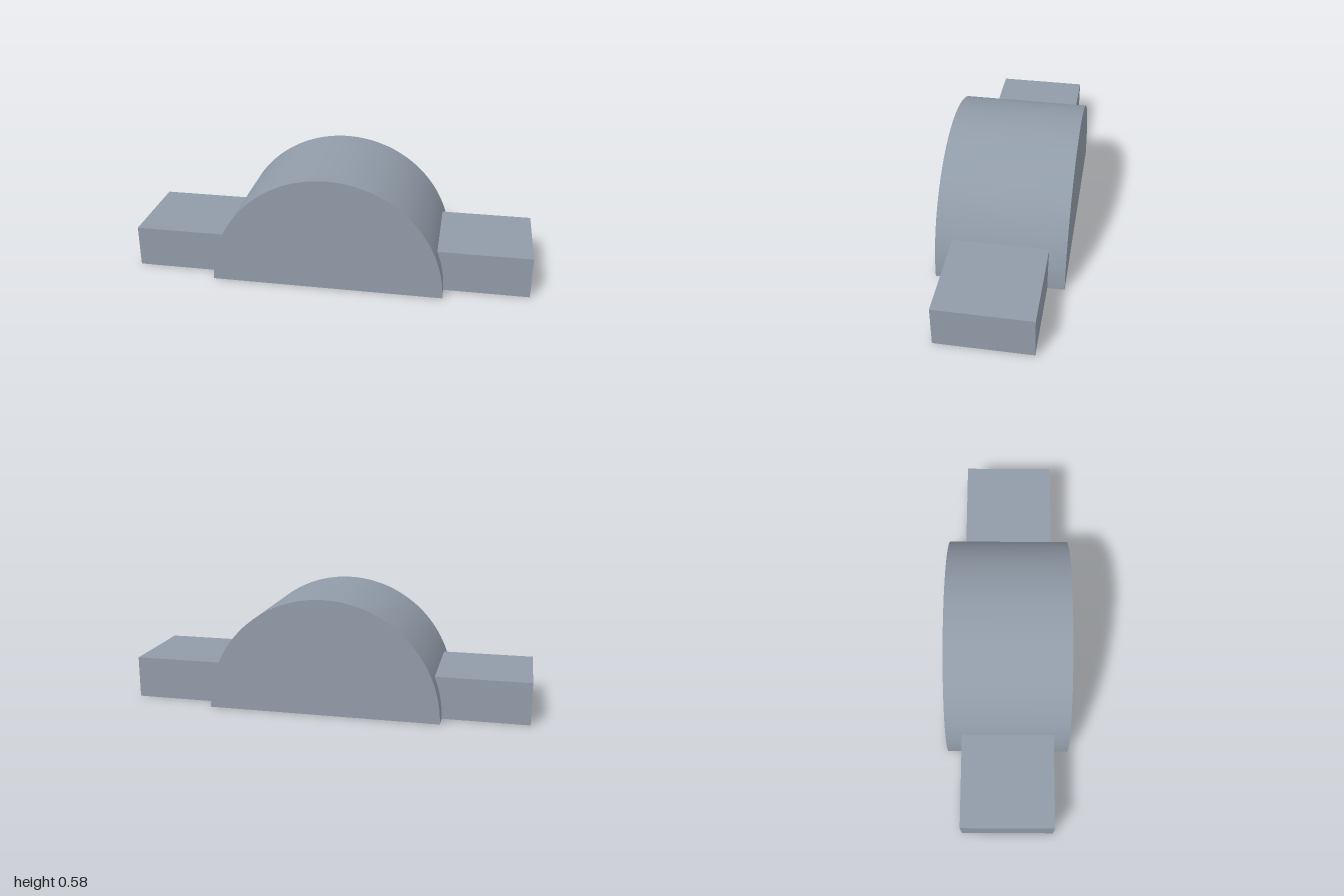
import * as THREE from 'three';

const RADIUS = 0.578, DEPTH = 0.63;
const TAB_HEIGHT = 0.21, TAB_DEPTH = 0.464;

export function createModel() {
  const model = new THREE.Group();
  const steel = new THREE.MeshStandardMaterial({ color: 0x919ca9 });
  steel.name = 'blue grey steel';

  const add = (name, geometry, parent = model) => {
    const mesh = new THREE.Mesh(geometry, steel);
    mesh.name = name;
    parent.add(mesh);
    return mesh;
  };

  // Half-round body: smooth arch with flat ends, closed by a flat underside
  const body = new THREE.Group();
  body.name = 'halfRoundBody';
  model.add(body);
  const arch = new THREE.CylinderGeometry(RADIUS, RADIUS, DEPTH, 96, 1, false, Math.PI / 2, Math.PI);
  add('arch', arch.rotateX(Math.PI / 2), body);
  add('underside', new THREE.PlaneGeometry(2 * RADIUS, DEPTH).rotateX(Math.PI / 2), body);

  // Side tabs: blocks whose inner end follows the curve of the body
  const angle = Math.asin(TAB_HEIGHT / RADIUS);
  const profile = new THREE.Shape();
  profile.moveTo(RADIUS, 0);
  profile.lineTo(1, 0);
  profile.lineTo(1, TAB_HEIGHT);
  profile.lineTo(RADIUS * Math.cos(angle), TAB_HEIGHT);
  profile.absarc(0, 0, RADIUS, angle, 0, true);
  const tab = new THREE.ExtrudeGeometry(profile, { depth: TAB_DEPTH, bevelEnabled: false, curveSegments: 12 });
  tab.translate(0, 0, -TAB_DEPTH / 2);
  add('leftTab', tab);
  add('rightTab', tab).rotation.y = Math.PI;

  return model;
}
